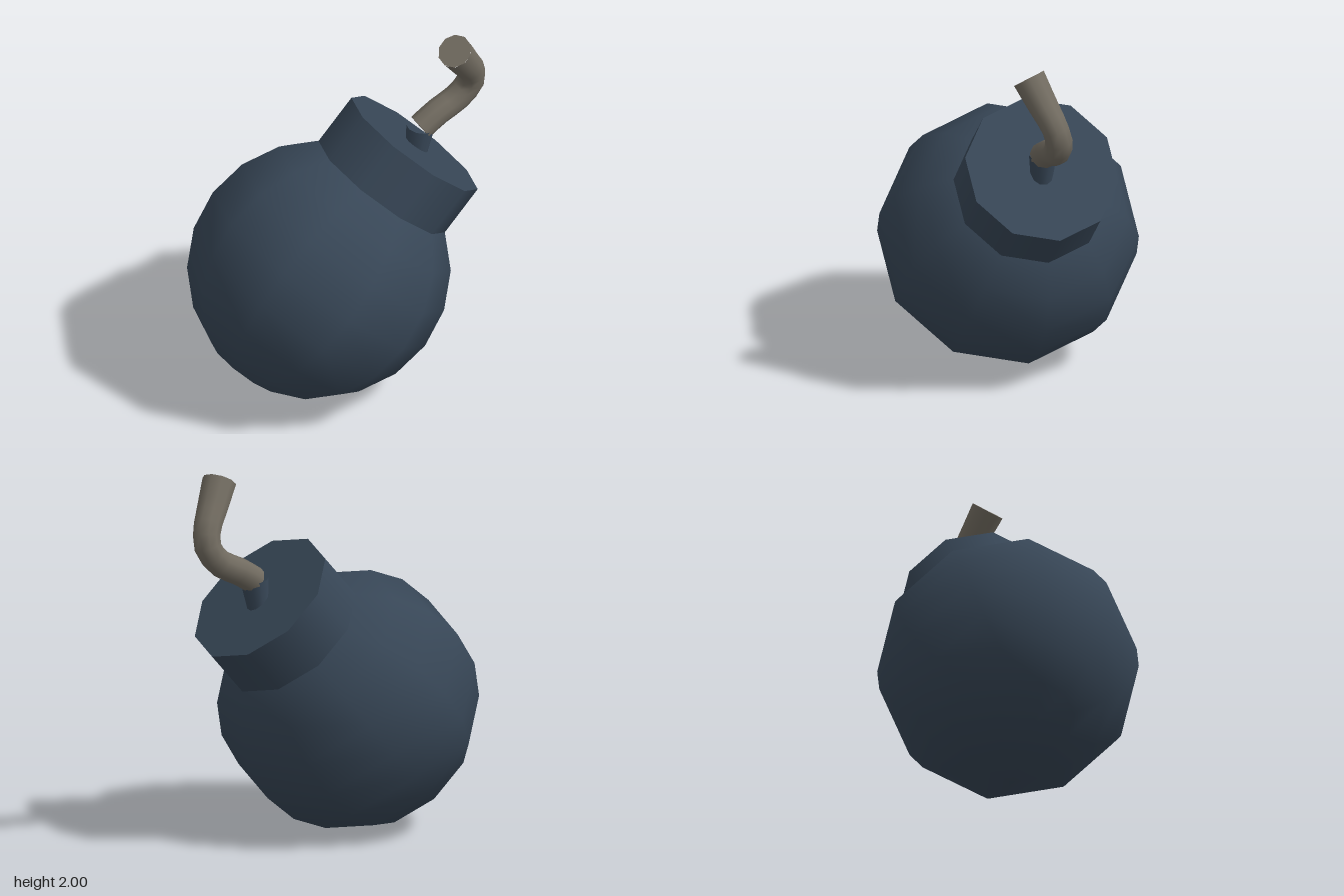
import * as THREE from 'three';

// Tube whose radius follows radiusAt(t) along the curve
function taperedTube(curve, segments, sides, radiusAt) {
  const geo = new THREE.TubeGeometry(curve, segments, 1, sides, false);
  const pos = geo.attributes.position;
  const v = new THREE.Vector3();
  for (let i = 0; i <= segments; i++) {
    const centre = curve.getPointAt(i / segments);
    for (let j = 0; j <= sides; j++) {
      const k = i * (sides + 1) + j;
      v.fromBufferAttribute(pos, k).sub(centre).multiplyScalar(radiusAt(i / segments)).add(centre);
      pos.setXYZ(k, v.x, v.y, v.z);
    }
  }
  return geo;
}

export function createModel() {
  const model = new THREE.Group();
  model.name = 'roundBomb';

  const iron = new THREE.MeshStandardMaterial({ color: 0x374656 });
  iron.name = 'dark blue iron';
  const cord = new THREE.MeshStandardMaterial({ color: 0x716b60 });
  cord.name = 'grey brown cord';

  const add = (parent, name, geometry, material) => {
    const mesh = new THREE.Mesh(geometry, material);
    mesh.name = name;
    parent.add(mesh);
    return mesh;
  };

  // Shell and neck share one axis, tilted to the left and back
  const body = new THREE.Group();
  body.name = 'body';
  const axis = new THREE.Vector3(0.634, 1, -0.634).normalize();
  const side = new THREE.Vector3(1, 0, 1).normalize();
  const uphill = new THREE.Vector3().crossVectors(side, axis);
  body.quaternion.setFromRotationMatrix(new THREE.Matrix4().makeBasis(side, axis, uphill));
  body.position.set(-0.04, 0.697, 0.04);
  model.add(body);

  add(body, 'shell', new THREE.SphereGeometry(0.692, 10, 10).rotateY(Math.PI / 2), iron);
  const neck = add(body, 'neck', new THREE.CylinderGeometry(0.412, 0.412, 0.295, 10), iron);
  neck.position.y = 0.845 - 0.295 / 2;

  // Short iron sleeve where the fuse leaves the neck
  const P = (x, y, z) => new THREE.Vector3(x, y, z);
  const sleevePath = new THREE.LineCurve3(P(0.365, 1.25, -0.36), P(0.385, 1.43, -0.38));
  add(model, 'fuseSleeve', taperedTube(sleevePath, 1, 10, t => 0.055 + 0.02 * t), iron);

  // Bent fuse, widening towards the free end
  const fusePath = new THREE.CatmullRomCurve3([
    P(0.385, 1.425, -0.38), P(0.45, 1.485, -0.45), P(0.54, 1.55, -0.54),
    P(0.595, 1.635, -0.58), P(0.607, 1.72, -0.56), P(0.59, 1.838, -0.475),
    P(0.57, 1.955, -0.39),
  ]);
  const fuseRadius = t => 0.073 + 0.019 * Math.max(0, (t - 0.6) / 0.4);
  add(model, 'fuse', taperedTube(fusePath, 12, 10, fuseRadius), cord);

  // Flat discs closing both fuse ends
  for (const [t, name, dir] of [[0, 'fuseBase', -1], [1, 'fuseTip', 1]]) {
    const disc = add(model, name, new THREE.CircleGeometry(fuseRadius(t), 10), cord);
    disc.position.copy(fusePath.getPointAt(t));
    disc.quaternion.setFromUnitVectors(P(0, 0, 1), fusePath.getTangentAt(t).multiplyScalar(dir));
  }

  return model;
}
